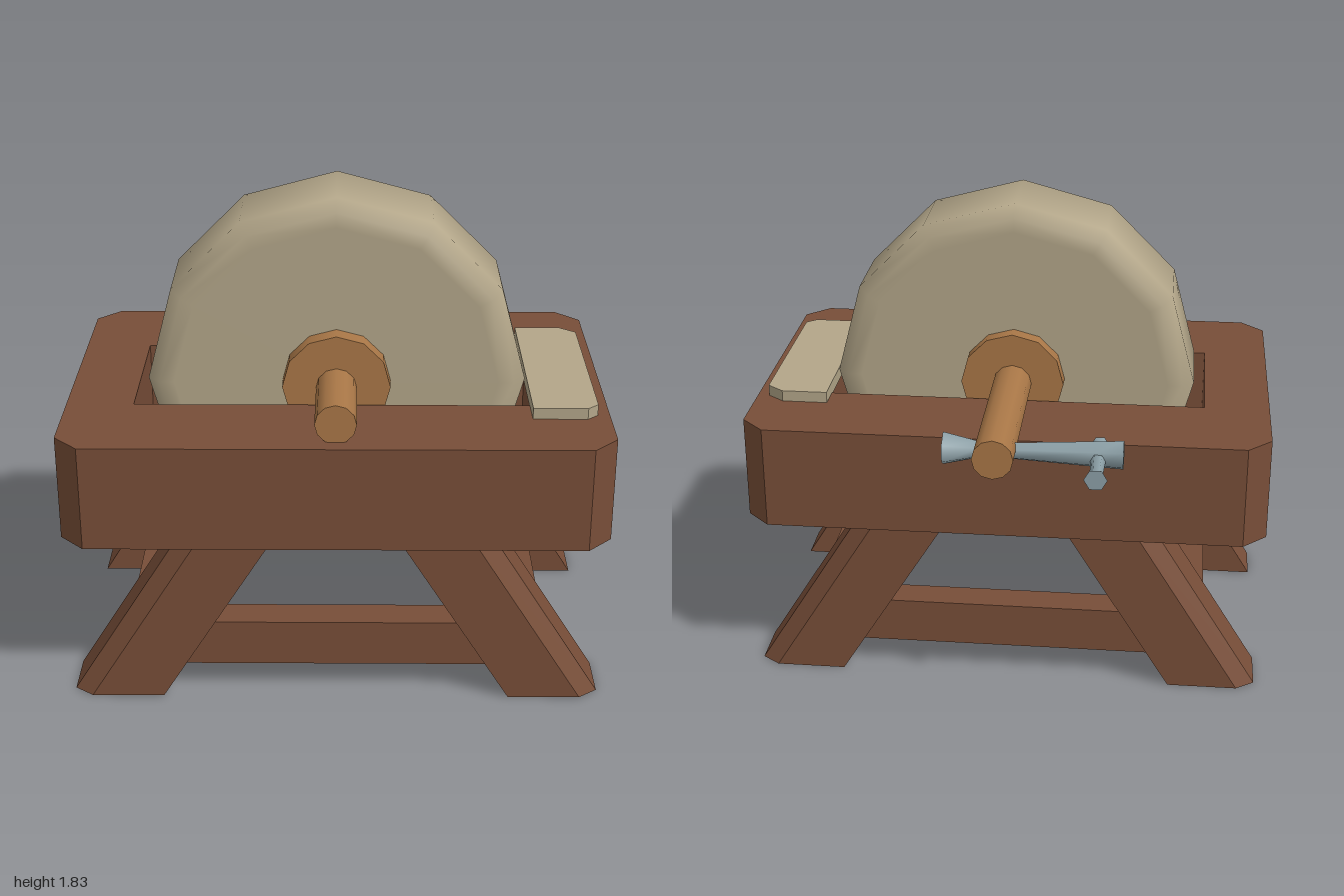
import * as THREE from 'three';
import { toCreasedNormals } from 'three/addons/utils/BufferGeometryUtils.js';

const mat = (name, color) => {
  const m = new THREE.MeshStandardMaterial({ color });
  m.name = name;
  return m;
};

export function createModel() {
  const darkWood = mat('darkWood', 0x784e38);
  const lightWood = mat('lightWood', 0xa97747);
  const stone = mat('stone', 0xb3a689);
  const steel = mat('steel', 0x8da1a8);
  const model = new THREE.Group();
  const midZ = 0.195;

  const add = (name, geometry, material, x = 0, y = 0, z = 0) => {
    const mesh = new THREE.Mesh(geometry, material);
    mesh.name = name;
    mesh.position.set(x, y, z);
    model.add(mesh);
    return mesh;
  };
  const points = (list) => list.map(([a, b]) => new THREE.Vector2(a, b));

  // Slab with an (x, z) outline, hanging down from y = 0
  const slab = (outline, depth, hole) => {
    const shape = new THREE.Shape(points(outline));
    if (hole) shape.holes.push(new THREE.Path(points(hole)));
    return new THREE.ExtrudeGeometry(shape, { depth, bevelEnabled: false }).rotateX(Math.PI / 2);
  };

  // Table frame with cut corners and a slot for the wheel
  const c = 0.09, w = 1, d = 0.665;
  add('frame', slab(
    [[-w + c, -d], [w - c, -d], [w, -d + c], [w, d - c], [w - c, d], [-w + c, d], [-w, d - c], [-w, -d + c]],
    0.4,
    [[-0.75, -0.285], [-0.75, 0.285], [0.75, 0.285], [0.75, -0.285]],
  ), darkWood, 0, 1.07, midZ);

  // Splayed legs, each with its outer corner cut off
  const legHeight = 0.7, splay = 0.42 / 0.67;
  for (const sx of [-1, 1]) {
    for (const sz of [-1, 1]) {
      const foot = [[0.65, 0.36], [0.99, 0.36], [0.99, 0.545], [0.92, 0.595], [0.65, 0.595]];
      const leg = slab(foot.map(([x, z]) => [sx * x, sz * z]), legHeight).translate(0, legHeight, 0);
      const p = leg.attributes.position;
      for (let i = 0; i < p.count; i++) p.setX(i, p.getX(i) - sx * splay * p.getY(i));
      leg.computeVertexNormals();
      add('leg', leg, darkWood, 0, 0, midZ);
    }
  }

  // Stretchers between the legs
  for (const s of [-1, 1]) {
    add('longStretcher', new THREE.BoxGeometry(1.24, 0.18, 0.13), darkWood, 0, 0.2, midZ + s * 0.475);
    add('sideStretcher', new THREE.BoxGeometry(0.12, 0.15, 0.86), darkWood, s * 0.72, 0.2, midZ);
  }

  // Twelve-sided grinding wheel with worn edges
  const R = 0.705, h = 0.21, b = 0.045;
  const wheel = new THREE.LatheGeometry(points([
    [0, -h], [R - 0.1, -h], [R - b, -h], [R, -h + b], [R, h - b], [R - b, h], [R - 0.1, h], [0, h],
  ]), 12);
  add('grindingWheel', toCreasedNormals(wheel, 0.9).rotateX(Math.PI / 2), stone, 0, 1.125, 0.19);

  // Axle and hub
  add('hub', new THREE.CylinderGeometry(0.2, 0.2, 0.555, 12).rotateX(Math.PI / 2), lightWood, 0, 1.138, 0.195);
  add('axle', new THREE.CylinderGeometry(0.075, 0.075, 1.59, 12).rotateX(Math.PI / 2), lightWood, 0, 1.137, 0.005);

  // Flat sharpening slab on the frame
  add('sharpeningSlab', slab(
    [[0.715, -0.19], [0.89, -0.19], [0.955, -0.14], [0.955, 0.565], [0.915, 0.6], [0.715, 0.6]], 0.05,
  ), stone, 0, 1.113, 0);

  // Crank bar through the axle, flared at both ends
  const turned = (profile) => toCreasedNormals(
    new THREE.LatheGeometry(points(profile), 6, Math.PI / 2), 1.1);
  add('crankBar', turned([
    [0, -0.46], [0.056, -0.46], [0.05, -0.36], [0.032, -0.06], [0.032, 0.06], [0.064, 0.19], [0, 0.19],
  ]).rotateZ(-Math.PI / 2), steel, 0, 1.122, -0.67);

  // Crank handle, crossing the bar near its end
  add('crankHandle', turned([
    [0, -0.87], [0.042, -0.87], [0.023, -0.835], [0.028, -0.7], [0.023, -0.62], [0.032, -0.57], [0, -0.57],
  ]).rotateX(Math.PI / 2), steel, -0.37, 1.115, 0);

  return model;
}
